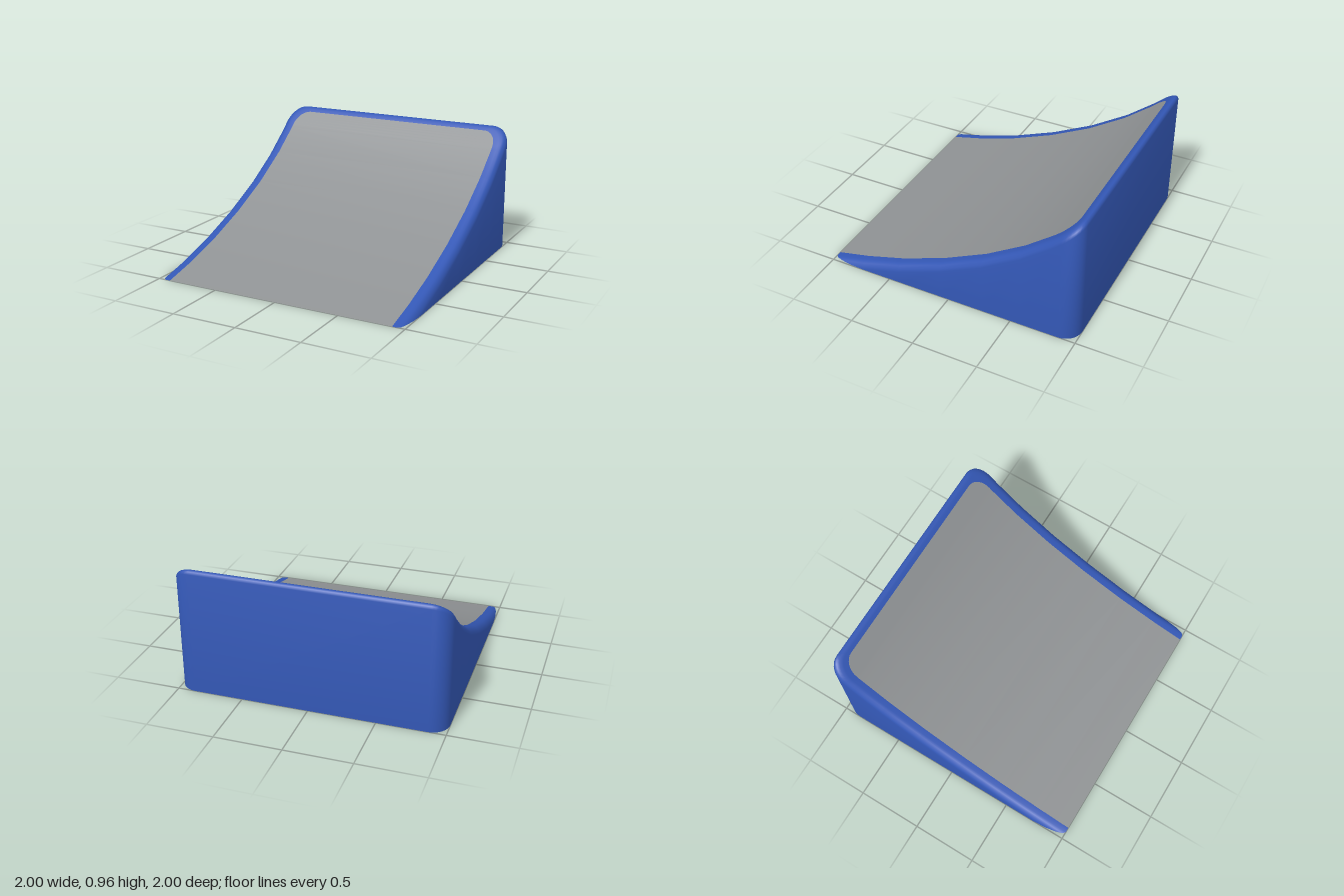
import * as THREE from 'three';
import { toCreasedNormals } from 'three/addons/utils/BufferGeometryUtils.js';

// Side profile of the ramp surface: [z, y]
const PROFILE = [[1, 0], [0.74, 0.06], [0.42, 0.155], [0.07, 0.29], [-0.27, 0.455], [-0.57, 0.64], [-0.79, 0.81], [-1, 0.997]];
const STATIONS = PROFILE.slice(0, 7).map((p) => p[0]);

// Plan outlines from the wall inwards: half width, back z, corner radius, drop below the profile
const RINGS = [
  [1, -1, 0.13, 0.06],
  [0.994, -0.994, 0.13, 0.036],
  [0.98, -0.981, 0.125, 0.016],
  [0.964, -0.964, 0.122, 0.004],
  [0.945, -0.946, 0.12, 0],
  [0.905, -0.926, 0.11, 0],
];

function interpolate(value, from, to) {
  let i = 1;
  const inside = (k) => (value - PROFILE[k - 1][from]) * (value - PROFILE[k][from]) <= 0;
  while (i < PROFILE.length - 1 && !inside(i)) i++;
  const a = PROFILE[i - 1], b = PROFILE[i];
  return a[to] + (b[to] - a[to]) * (value - a[from]) / (b[from] - a[from]);
}

// U-shaped outline: right side, rounded back corners, left side
function ring([halfX, backZ, r, drop]) {
  const frontZ = interpolate(drop, 1, 0);
  const plan = STATIONS.map((z) => [halfX, Math.min(z, frontZ)]);
  for (let i = 0; i <= 8; i++) {
    const a = (i / 8) * Math.PI / 2;
    plan.push([halfX - r + r * Math.cos(a), backZ + r - r * Math.sin(a)]);
  }
  const right = plan.map(([x, z]) => [x, Math.max(0, interpolate(z, 0, 1) - drop), z]);
  return right.concat(right.slice().reverse().map(([x, y, z]) => [-x, y, z]));
}

// Quads between two equally long rows of points
function strip(out, low, high) {
  for (let i = 0; i < low.length - 1; i++) {
    const [a, b, c, d] = [low[i], low[i + 1], high[i + 1], high[i]];
    out.push(...a, ...b, ...c, ...a, ...c, ...d);
  }
}

function toMesh(name, positions, material) {
  const geo = new THREE.BufferGeometry();
  geo.setAttribute('position', new THREE.Float32BufferAttribute(positions, 3));
  const mesh = new THREE.Mesh(toCreasedNormals(geo, 0.9), material);
  mesh.name = name;
  return mesh;
}

export function createModel() {
  const blue = new THREE.MeshStandardMaterial({ name: 'blue', color: 0x3357b5 });
  const grey = new THREE.MeshStandardMaterial({ name: 'grey', color: 0x8f9294 });
  const group = new THREE.Group();
  group.name = 'ramp';

  const rings = RINGS.map(ring);
  const half = rings[0].length / 2;
  const mirror = (p) => [-p[0], p[1], p[2]];

  // Walls and rounded rim
  const body = [];
  const foot = rings[0].map(([x, , z]) => [x, 0, z]);
  strip(body, foot, rings[0]);
  for (let i = 0; i < rings.length - 1; i++) strip(body, rings[i], rings[i + 1]);

  // Underside, following the tapered front corners
  const base = rings.slice(1).reverse().map((r) => r[0]).concat(foot.slice(0, half));
  strip(body, base.map(mirror), base);
  group.add(toMesh('rampBody', body, blue));

  // Grey sliding surface
  const panel = [];
  const edge = rings[rings.length - 1].slice(0, half);
  strip(panel, edge, edge.map(mirror));
  group.add(toMesh('rampSurface', panel, grey));

  return group;
}
